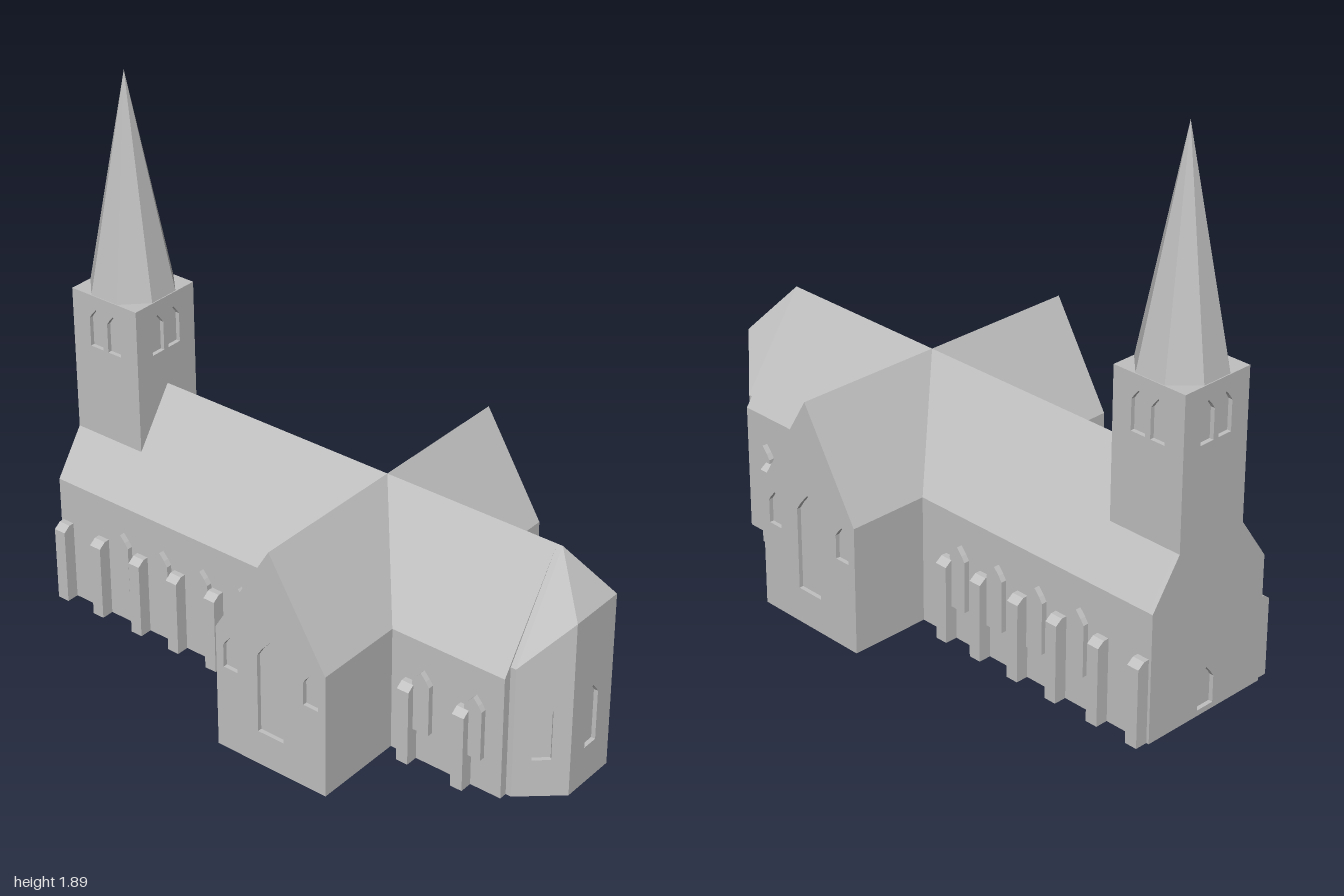
import * as THREE from 'three';

const stone = new THREE.MeshStandardMaterial({ color: 0xc0c0c0 });
stone.name = 'grey stone';

const D = 0.015;                 // depth of window recesses
const EAVES = 0.45, RIDGE = 0.81, HALF = 0.25;
const Q = Math.PI / 2;

// pointed-arch outline centred on x
function arch(x, w, y0, y1) {
  const h = 0.65 * w, s = y1 - h;
  return [[-0.5, y0], [0.5, y0], [0.5, s], [0.31, s + 0.45 * h], [0, y1], [-0.31, s + 0.45 * h], [-0.5, s]]
    .map(([u, y]) => new THREE.Vector2(x + u * w, y));
}

const pts = (list) => list.map(([x, y]) => new THREE.Vector2(x, y));
const gable = (half) => pts([[-half, 0], [half, 0], [half, EAVES], [0, RIDGE], [-half, EAVES]]);
const rect = (half, y0, y1) => pts([[-half, y0], [half, y0], [half, y1], [-half, y1]]);

// outline with holes; its outer face lies at (x, z) and faces along rotY, the body extends inward
function slab(name, outline, holes, depth, x, z, rotY) {
  const shape = new THREE.Shape(outline);
  for (const hole of holes) shape.holes.push(new THREE.Path(hole));
  const geo = new THREE.ExtrudeGeometry(shape, { depth, bevelEnabled: false });
  geo.translate(0, 0, -depth);
  const mesh = new THREE.Mesh(geo, stone);
  mesh.name = name;
  mesh.position.set(x, 0, z);
  mesh.rotation.y = rotY;
  return mesh;
}

// nave with west door, windows and buttresses
function nave() {
  const g = new THREE.Group();
  g.name = 'nave';
  g.add(slab('westWall', gable(HALF), [arch(0, 0.07, 0.02, 0.16)], D, -1, 0, -Q));
  g.add(slab('naveBody', gable(HALF), [], 1.845 - D, -1 + D, 0, -Q));
  const profile = pts([[-0.01, 0], [0.045, 0], [0.045, 0.275], [0.02, 0.293], [-0.01, 0.293]]);
  for (const side of [1, -1]) {
    for (const x of [-0.968, -0.805, -0.63, -0.465, -0.3, -0.147, 0.495, 0.707])
      g.add(slab('buttress', profile, [], 0.045, x - side * 0.0225, side * HALF, -side * Q));
    for (const x of [-0.71, -0.535, -0.36, -0.195, 0.545, 0.745])
      g.add(slab('naveWindow', arch(0, 0.066, 0.125, 0.35), [], 0.03, x, side * (HALF + 0.02), side > 0 ? 0 : Math.PI));
  }
  return g;
}

// crossing arm with a gabled front at each end
function transept() {
  const g = new THREE.Group();
  g.name = 'transept';
  const front = 0.58, back = -0.54, half = 0.218, x = 0.2;
  const holes = [arch(0, 0.103, 0.125, 0.48), arch(-0.16, 0.057, 0.31, 0.43), arch(0.16, 0.057, 0.31, 0.43)];
  g.add(slab('transeptBody', gable(half), [], front - back - 2 * D, x, front - D, 0));
  g.add(slab('transeptFront', gable(half), holes, D, x, front, 0));
  g.add(slab('transeptBack', gable(half), holes, D, x, back, Math.PI));
  return g;
}

// square tower with paired openings and eight-sided spire
function tower() {
  const g = new THREE.Group();
  g.name = 'tower';
  const h = 0.14, y0 = 0.5, y1 = 1.13, cx = -0.86;
  g.add(slab('towerCore', rect(h - D, y0, y1), [], 2 * (h - D), cx, h - D, 0));
  for (let i = 0; i < 4; i++) {
    const a = i * Q;
    const holes = [arch(-0.0385, 0.056, 0.94, 1.08), arch(0.0385, 0.056, 0.94, 1.08)];
    g.add(slab('towerWall', rect(h, y0, y1), holes, D, cx + Math.sin(a) * h, Math.cos(a) * h, a));
  }
  const cone = new THREE.ConeGeometry(0.148, 0.76, 8, 1).rotateY(Math.PI / 8).toNonIndexed();
  cone.computeVertexNormals();
  const spire = new THREE.Mesh(cone, stone);
  spire.name = 'spire';
  spire.position.set(cx, y1 + 0.38, 0);
  g.add(spire);
  return g;
}

// polygonal east end
function apse() {
  const g = new THREE.Group();
  g.name = 'apse';
  const x0 = 0.8, x1 = 0.865, wide = 0.222, narrow = 0.105, low = 0.48, high = 0.64;

  // inner core, seen at the back of the window recesses
  const cx = x1 - 0.374 * D, cw = wide - D, cn = narrow - 0.457 * D;
  const plan = new THREE.Shape(pts([[x0, -cw], [cx, -cw], [1 - D, -cn], [1 - D, cn], [cx, cw], [x0, cw]]));
  const coreGeo = new THREE.ExtrudeGeometry(plan, { depth: low - 0.02, bevelEnabled: false });
  coreGeo.rotateX(-Q);
  const core = new THREE.Mesh(coreGeo, stone);
  core.name = 'apseCore';
  g.add(core);

  // walls
  const window = [arch(0, 0.06, 0.138, 0.36)];
  const len = Math.hypot(1 - x1, wide - narrow) / 2;
  const a = Math.atan2(wide - narrow, 1 - x1);
  const mx = (1 + x1) / 2, mz = (wide + narrow) / 2;
  const facet = (l, r) => pts([[-len, 0], [len, 0], [len, r], [-len, l]]);
  g.add(slab('apseEndWall', rect(narrow, 0, high), window, D, 1, 0, Q));
  g.add(slab('apseFrontFacet', facet(low, high), window, D, mx, mz, a));
  g.add(slab('apseBackFacet', facet(high, low), window, D, mx, -mz, Math.PI - a));
  const stub = rect((x1 - x0) / 2, 0, low);
  g.add(slab('apseSideWall', stub, [], D, (x0 + x1) / 2, wide, 0));
  g.add(slab('apseSideWall', stub, [], D, (x0 + x1) / 2, -wide, Math.PI));

  // roof faces
  const R0 = [x0, RIDGE, 0], R1 = [x1, RIDGE, 0];
  const A0 = [x0, low, wide], A1 = [x1, low, wide], A2 = [1, high, narrow];
  const B0 = [x0, low, -wide], B1 = [x1, low, -wide], B2 = [1, high, -narrow];
  const tris = [R0, A0, A1, R0, A1, R1, R1, A1, A2, R1, A2, B2, R1, B2, B1, R0, R1, B1, R0, B1, B0];
  const geo = new THREE.BufferGeometry();
  geo.setAttribute('position', new THREE.Float32BufferAttribute(tris.flat(), 3));
  geo.computeVertexNormals();
  const roof = new THREE.Mesh(geo, stone);
  roof.name = 'apseRoof';
  g.add(roof);
  return g;
}

export function createModel() {
  const church = new THREE.Group();
  church.name = 'church';
  const body = new THREE.Group();
  body.name = 'building';
  body.position.z = -0.02;
  body.add(nave(), transept(), tower(), apse());
  church.add(body);
  return church;
}
